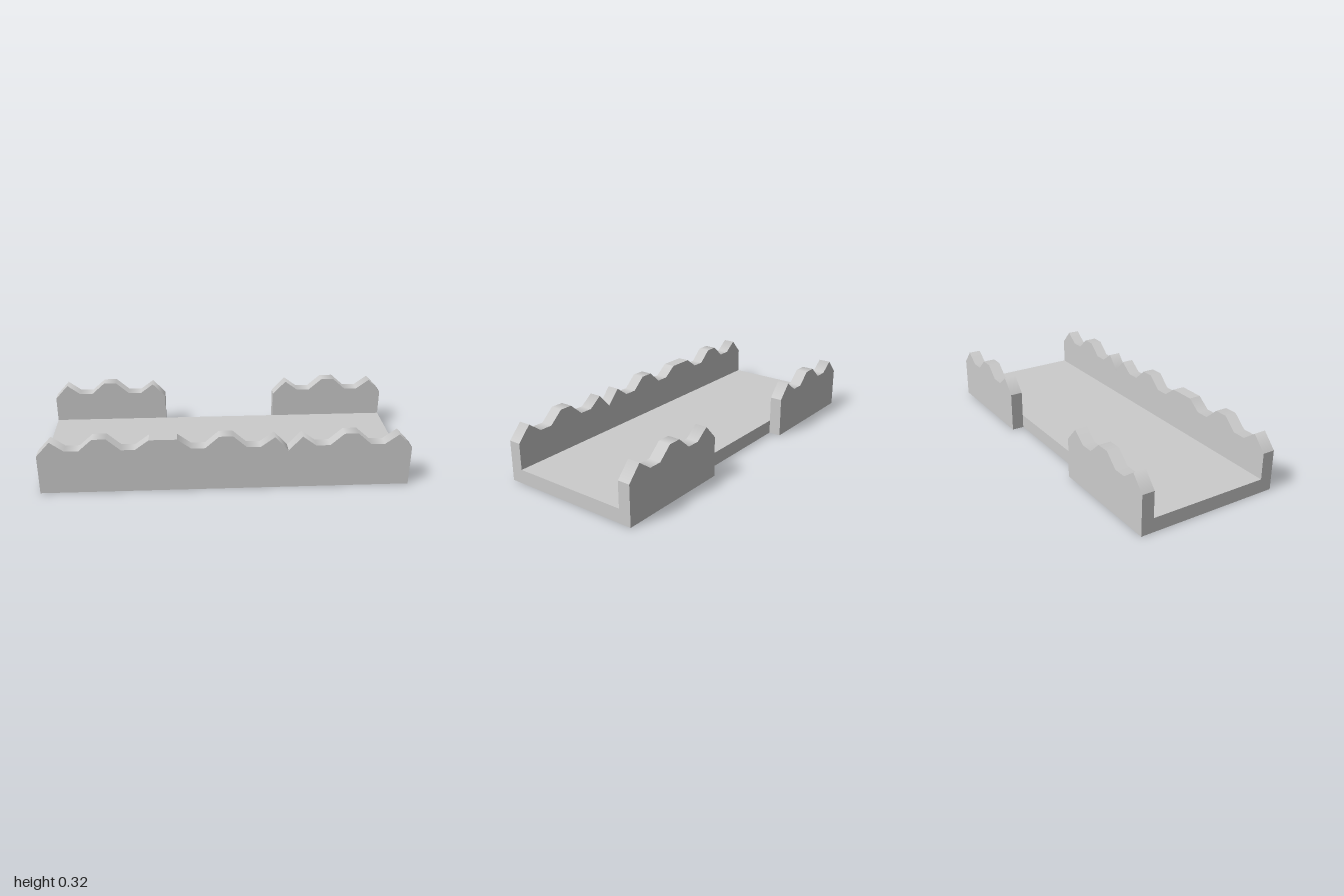
import * as THREE from 'three';

const material = new THREE.MeshStandardMaterial({ color: 0xcccccc });
const INNER = 0.335, OUTER = 0.404, FLOOR_TOP = 0.078;
const SECTION = 2 / 3, STEP = SECTION / 9;
// Ridge heights at ten even stations along one wall section
const RIDGE = [0.224, 0.305, 0.25, 0.25, 0.316, 0.316, 0.25, 0.25, 0.305, 0.224];

// Ridge points of one section; section ends are sharp corners
function ridge(startX) {
  return RIDGE.map((y, i) => ({ x: startX + i * STEP, y, sharp: i === 0 || i === 9 }));
}

function wall(name, points, z) {
  const shape = new THREE.Shape();
  shape.moveTo(points[0].x, 0);
  shape.lineTo(points[points.length - 1].x, 0);
  [...points].reverse().forEach(p => shape.lineTo(p.x, p.y));
  const geometry = new THREE.ExtrudeGeometry(shape, { depth: OUTER - INNER, bevelEnabled: false });

  // Round the shading along the ridge, keeping sharp corners crisp
  const slope = (a, b) => new THREE.Vector2(a.y - b.y, b.x - a.x).normalize();
  const pos = geometry.attributes.position, nor = geometry.attributes.normal;
  for (let i = 0; i < pos.count; i++) {
    if (nor.getY(i) < 0.1) continue;
    const k = points.findIndex(p => Math.abs(p.x - pos.getX(i)) < 1e-4);
    if (k < 1 || k > points.length - 2 || points[k].sharp) continue;
    const n = slope(points[k - 1], points[k]).add(slope(points[k], points[k + 1])).normalize();
    nor.setXYZ(i, n.x, n.y, 0);
  }
  const mesh = new THREE.Mesh(geometry, material);
  mesh.name = name;
  mesh.position.z = z;
  return mesh;
}

export function createModel() {
  const group = new THREE.Group();
  group.name = 'ruinedWallBase';

  // Floor slab between the walls
  const floor = new THREE.Mesh(new THREE.BoxGeometry(2, FLOOR_TOP, INNER * 2), material);
  floor.name = 'floor';
  floor.position.y = FLOOR_TOP / 2;
  group.add(floor);

  // Front wall: three sections, the first two joined by a flat bridge
  const first = ridge(-1).slice(0, -1);
  const second = ridge(-1 + SECTION).slice(1);
  first[first.length - 1].sharp = true;
  second[0].sharp = true;
  const third = ridge(-1 + 2 * SECTION).slice(1);
  group.add(wall('frontWall', [...first, ...second, ...third], INNER));

  // Back walls with an open gap in the middle
  group.add(wall('backWallRight', ridge(-1), -OUTER));
  group.add(wall('backWallLeft', ridge(1 - SECTION), -OUTER));
  return group;
}
